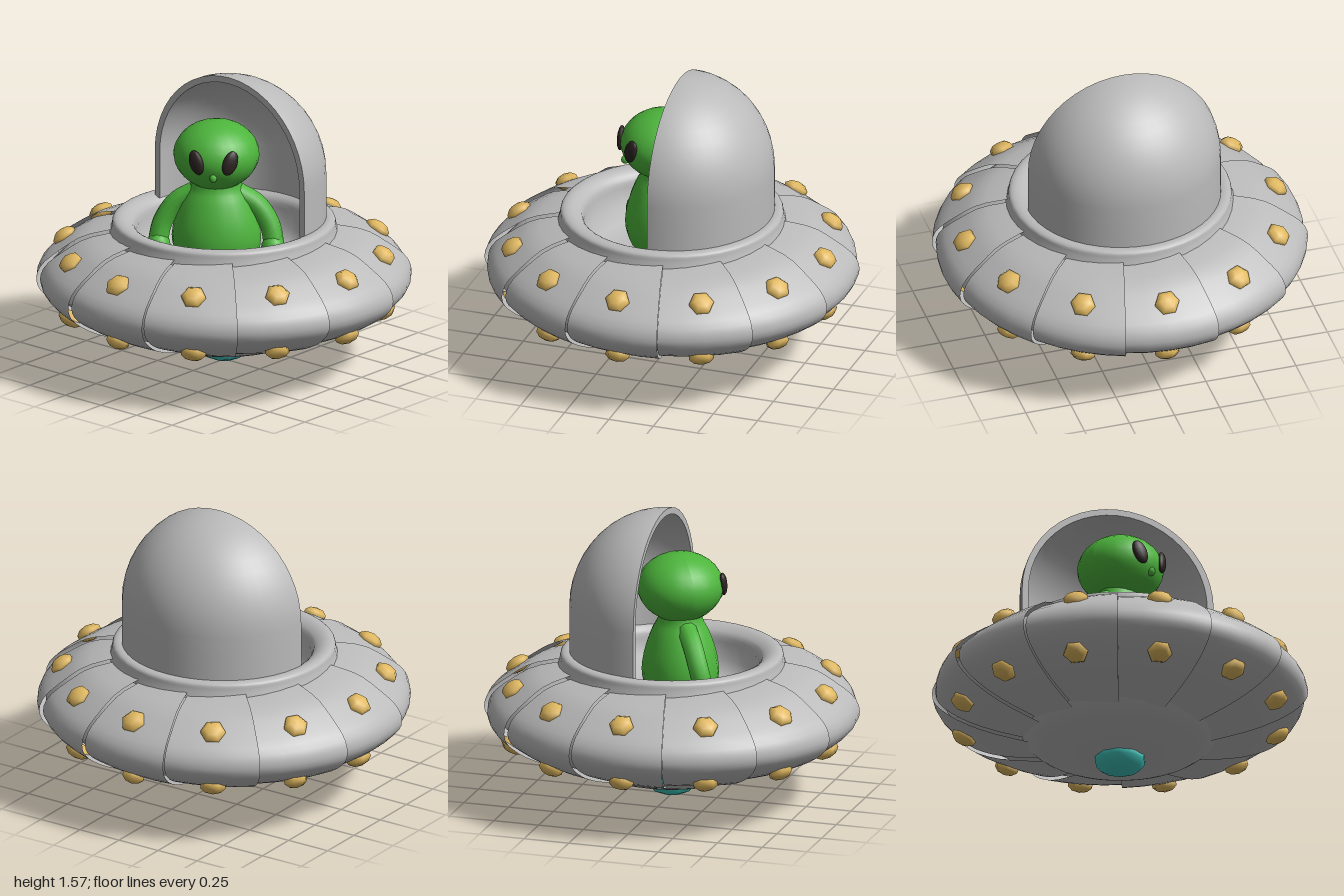
import * as THREE from 'three';

const mat = (name, color, extra = {}) => new THREE.MeshStandardMaterial({ name, color, ...extra });
const v2 = (pairs) => pairs.map(([x, y]) => new THREE.Vector2(x, y));
const smooth = (pairs, n) => new THREE.SplineCurve(v2(pairs)).getPoints(n);

export function createModel() {
  const hullGrey = mat('hullGrey', 0xbababa, { side: THREE.DoubleSide });
  const skin = mat('alienGreen', 0x4db53c);
  const dark = mat('eyeBlack', 0x2c2321);
  const gold = mat('lampGold', 0xe0b860);
  const teal = mat('thrusterTeal', 0x40c4bb);

  const model = new THREE.Group();
  model.name = 'flyingSaucer';
  const add = (parent, name, geometry, material, pos = [0, 0, 0], scale = [1, 1, 1]) => {
    const mesh = new THREE.Mesh(geometry, material);
    mesh.name = name;
    mesh.position.set(...pos);
    mesh.scale.set(...scale);
    parent.add(mesh);
    return mesh;
  };

  // Belly dish under the panels
  add(model, 'belly', new THREE.LatheGeometry(
    smooth([[0, 0.09], [0.15, 0.097], [0.32, 0.13], [0.45, 0.175], [0.52, 0.23]], 12), 40), hullGrey);

  // Inner core seen through the seams between panels
  add(model, 'hullCore', new THREE.LatheGeometry(
    v2([[0.45, 0.24], [0.8, 0.34], [0.95, 0.48], [0.8, 0.64], [0.55, 0.71]]), 36), hullGrey);

  // Twelve overlapping hull panels, each slightly raised along one edge
  const panelProfile = smooth([[0.48, 0.205], [0.7, 0.265], [0.86, 0.335], [0.96, 0.41],
    [0.99, 0.48], [0.96, 0.56], [0.86, 0.64], [0.74, 0.71], [0.57, 0.745]], 20);
  const step = Math.PI / 6;
  const panel = new THREE.LatheGeometry(panelProfile, 4, -step / 2, step);
  const p = panel.attributes.position;
  for (let i = 0; i < p.count; i++) {
    const x = p.getX(i), y = p.getY(i), z = p.getZ(i);
    const t = Math.atan2(x, z) / step;
    const k = 1 + 0.02 * t;
    p.setXYZ(i, x * k, 0.48 + (y - 0.48) * (1 + 0.06 * t), z * k);
  }
  panel.computeVertexNormals();

  // Lamps sit above and below the edge at the middle of each panel
  const lamp = new THREE.SphereGeometry(0.07, 6, 5);
  for (let i = 0; i < 12; i++) {
    const sector = new THREE.Group();
    sector.name = 'hullSector';
    sector.rotation.y = i * step;
    add(sector, 'hullPanel', panel, hullGrey);
    add(sector, 'upperLamp', lamp, gold, [0, 0.643, 0.862], [1, 0.62, 1]).rotation.x = 0.6;
    add(sector, 'lowerLamp', lamp, gold, [0, 0.332, 0.862], [1, 0.62, 1]).rotation.x = Math.PI - 0.5;
    model.add(sector);
  }

  // Cockpit rim
  add(model, 'cockpitRim', new THREE.LatheGeometry(
    smooth([[0.61, 0.72], [0.597, 0.765], [0.59, 0.797], [0.56, 0.808], [0.52, 0.8],
      [0.48, 0.77], [0.468, 0.72]], 18), 40), hullGrey);

  // Cockpit basin
  add(model, 'cockpitBasin', new THREE.LatheGeometry(
    v2([[0.468, 0.73], [0.455, 0.64], [0.4, 0.57], [0.25, 0.54], [0, 0.53]]), 36), hullGrey);

  // Half dome canopy: outer shell, inner shell and front edge
  const domeArc = (r, top) => {
    const pts = v2([[r, 0.79], [r, 0.93]]);
    for (let i = 0; i <= 12; i++) {
      const a = (i / 12) * Math.PI / 2;
      pts.push(new THREE.Vector2(r * Math.cos(a), 1.05 + (top - 1.05) * Math.sin(a)));
    }
    return pts;
  };
  const canopy = new THREE.Group();
  canopy.name = 'canopy';
  canopy.position.z = -0.045;
  canopy.scale.z = 0.955;
  model.add(canopy);
  const outer = domeArc(0.525, 1.575), inner = domeArc(0.49, 1.54);
  const half = (pts) => new THREE.LatheGeometry(pts, 24, Math.PI / 2, Math.PI);
  add(canopy, 'canopyOuter', half(outer), hullGrey);
  add(canopy, 'canopyInner', half([...inner].reverse()), hullGrey);
  const mirror = (pts) => pts.map((q) => new THREE.Vector2(-q.x, q.y)).reverse();
  const edge = new THREE.Shape([...outer, ...mirror(outer).slice(1), ...mirror(inner).reverse(),
    ...[...inner].reverse().slice(1)]);
  add(canopy, 'canopyEdge', new THREE.ShapeGeometry(edge), hullGrey);

  // Thruster under the belly
  add(model, 'thruster', new THREE.SphereGeometry(0.14, 10, 7), teal, [0, 0.09, 0], [1, 0.59, 1]);

  // Alien, turned towards its left
  const alien = new THREE.Group();
  alien.name = 'alien';
  alien.position.set(-0.01, 0, 0.05);
  alien.rotation.y = 0.63;
  model.add(alien);

  add(alien, 'body', new THREE.LatheGeometry(
    smooth([[0, 0.54], [0.17, 0.56], [0.235, 0.67], [0.225, 0.8], [0.18, 0.92],
      [0.14, 0.99], [0.13, 1.05]], 18), 20), skin, [0, 0, 0], [1, 1, 0.85]);

  // Head, narrowing slightly to the chin
  const headGeo = new THREE.SphereGeometry(1, 24, 16);
  const h = headGeo.attributes.position;
  for (let i = 0; i < h.count; i++) {
    const k = 1 - 0.05 * Math.max(0, -h.getY(i));
    h.setXYZ(i, h.getX(i) * k, h.getY(i), h.getZ(i) * k);
  }
  headGeo.computeVertexNormals();
  add(alien, 'head', headGeo, skin, [0, 1.17, 0], [0.23, 0.187, 0.232]);
  add(alien, 'nose', new THREE.SphereGeometry(0.025, 8, 6), skin, [0, 1.105, 0.212], [0.8, 1, 1]);

  // Eyes and arms, mirrored
  for (const s of [-1, 1]) {
    const eye = add(alien, 'eye', new THREE.SphereGeometry(1, 12, 8), dark,
      [s * 0.09, 1.19, 0.21], [0.042, 0.068, 0.022]);
    eye.rotation.set(-0.06, s * 0.41, -s * 0.35, 'YXZ');

    const path = new THREE.CatmullRomCurve3([[0.11, 0.96, 0], [0.21, 0.9, 0], [0.285, 0.79, 0.01],
      [0.31, 0.68, 0.03]].map(([x, y, z]) => new THREE.Vector3(s * x, y, z)));
    add(alien, 'arm', new THREE.TubeGeometry(path, 10, 0.055, 10), skin);
    add(alien, 'hand', new THREE.SphereGeometry(0.072, 12, 8), skin, [s * 0.305, 0.66, 0.04], [0.9, 1.1, 1.1]);
  }

  return model;
}
